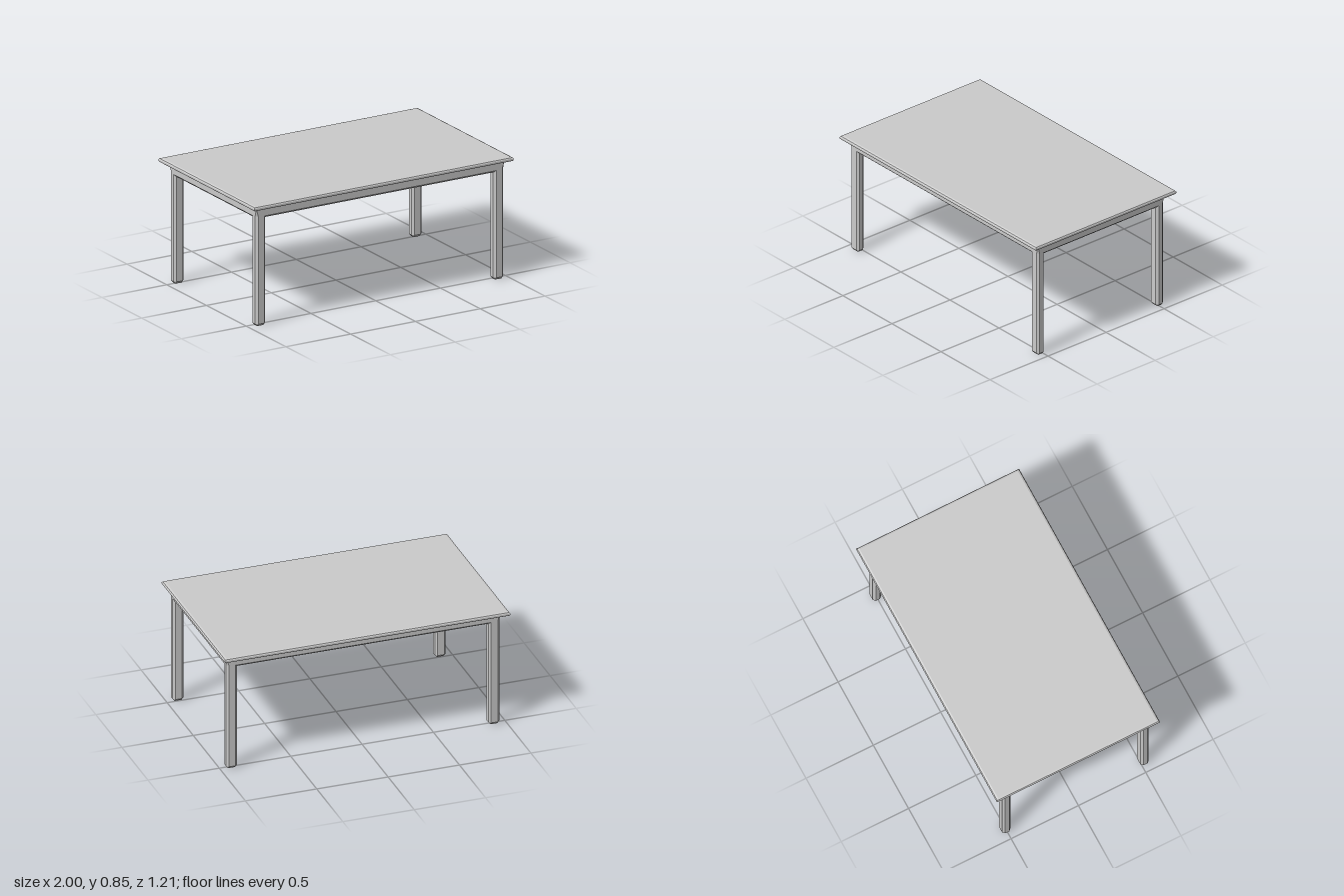
import * as THREE from 'three';

const material = new THREE.MeshStandardMaterial({ color: 0xcccccc, flatShading: true });

// Skin stacked rings (bottom to top, counter-clockwise seen from above) and cap both ends.
function loft(rings) {
  const pos = [];
  const n = rings[0].length;
  const tri = (a, b, c) => pos.push(...a, ...b, ...c);
  for (let r = 0; r < rings.length - 1; r++) {
    for (let i = 0; i < n; i++) {
      const j = (i + 1) % n;
      const [a, b, c, d] = [rings[r][i], rings[r][j], rings[r + 1][j], rings[r + 1][i]];
      tri(a, b, c);
      tri(a, c, d);
    }
  }
  const lo = rings[0], hi = rings[rings.length - 1];
  for (let i = 1; i < n - 1; i++) {
    tri(lo[0], lo[i + 1], lo[i]);
    tri(hi[0], hi[i], hi[i + 1]);
  }
  const geo = new THREE.BufferGeometry();
  geo.setAttribute('position', new THREE.Float32BufferAttribute(pos, 3));
  geo.computeVertexNormals();
  return geo;
}

// Rectangle with cut corners; cuts(sx, sz) gives the cut at each corner.
function ring(hx, hz, y, cuts) {
  const pts = [];
  for (const [sx, sz] of [[1, 1], [1, -1], [-1, -1], [-1, 1]]) {
    const c = cuts(sx, sz);
    const onSide = [sx * hx, y, sz * (hz - c)];
    const onFront = [sx * (hx - c), y, sz * hz];
    pts.push(...(sx * sz > 0 ? [onFront, onSide] : [onSide, onFront]));
  }
  return pts;
}

const LEG_X = 0.077, LEG_Z = 0.061, CUT = 0.015;
const FRAME_X = 0.957, FRAME_Z = 0.544;
const TOP_Y = 0.82, RAIL_Y = 0.748;

// Leg with bevelled edges; the bevel on the outer corner runs out under the top.
function legGeometry(outX, outZ) {
  const hx = LEG_X / 2, hz = LEG_Z / 2;
  const all = () => CUT;
  return loft([
    ring(hx - CUT, hz - CUT, 0, () => 0),
    ring(hx, hz, 0.017, all),
    ring(hx, hz, 0.765, all),
    ring(hx, hz, TOP_Y, (sx, sz) => (sx === outX && sz === outZ ? 0 : CUT)),
  ]);
}

// Rail along z with its two lower edges bevelled.
function railGeometry(width, length) {
  const h = width / 2, c = 0.013;
  const shape = new THREE.Shape([
    [-h, TOP_Y], [-h, RAIL_Y + c], [-h + c, RAIL_Y], [h - c, RAIL_Y], [h, RAIL_Y + c], [h, TOP_Y],
  ].map(([x, y]) => new THREE.Vector2(x, y)));
  return new THREE.ExtrudeGeometry(shape, { depth: length, bevelEnabled: false })
    .translate(0, 0, -length / 2);
}

export function createModel() {
  const table = new THREE.Group();
  table.name = 'table';
  const add = (parent, name, geo) => {
    const mesh = new THREE.Mesh(geo, material);
    mesh.name = name;
    parent.add(mesh);
    return mesh;
  };

  // Slab with rounded long and short edges
  const edge = [[0.017, 0.82], [0.005, 0.8245], [0, 0.832], [0, 0.841], [0.005, 0.8485], [0.017, 0.853]];
  add(table, 'tabletop', loft(edge.map(([inset, y]) => ring(1 - inset, 0.605 - inset, y, () => 0))));

  // Legs and rails share one frame, set very slightly off centre
  const frame = new THREE.Group();
  frame.name = 'frame';
  frame.position.set(0.003, 0, 0.009);
  table.add(frame);
  const cx = FRAME_X - LEG_X / 2, cz = FRAME_Z - LEG_Z / 2;

  for (const sx of [1, -1]) {
    const side = sx > 0 ? 'Left' : 'Right';
    for (const sz of [1, -1]) {
      const leg = add(frame, (sz > 0 ? 'front' : 'back') + side + 'Leg', legGeometry(sx, sz));
      leg.position.set(sx * cx, 0, sz * cz);
    }
    add(frame, 'rail' + side, railGeometry(LEG_X, 2 * cz)).position.x = sx * cx;
  }
  for (const sz of [1, -1]) {
    const rail = add(frame, sz > 0 ? 'railFront' : 'railBack', railGeometry(LEG_Z, 2 * cx));
    rail.rotation.y = Math.PI / 2;
    rail.position.z = sz * cz;
  }
  return table;
}
